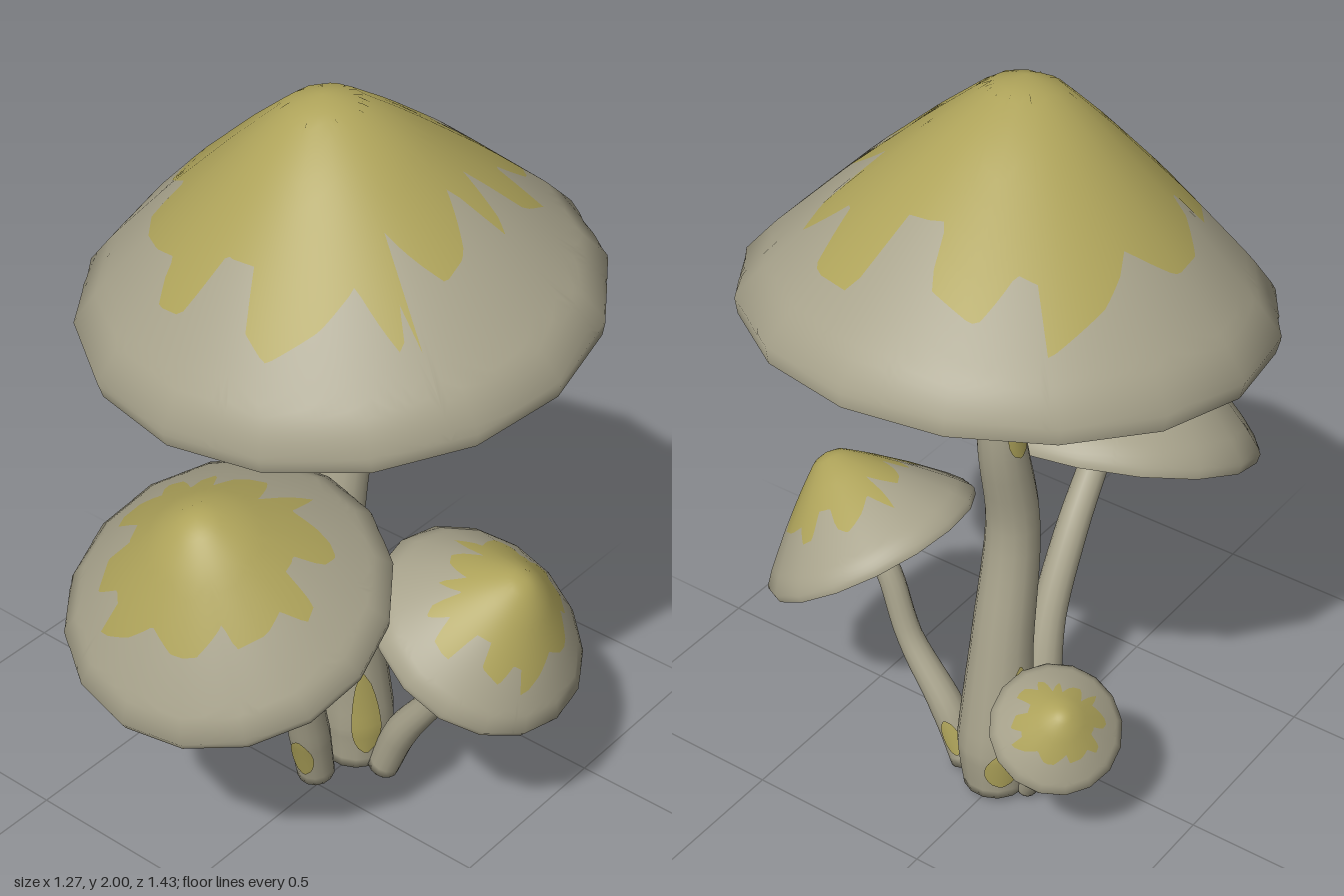
import * as THREE from 'three';

const material = (name, color, side = THREE.FrontSide) => {
  const m = new THREE.MeshStandardMaterial({ color, side });
  m.name = name;
  return m;
};

const { lerp } = THREE.MathUtils;
const SIDES = 16;

// Cap profiles for a cap of radius 1: [radius, height above the rim plane]
const TOP = [[0, 0.89], [0.14, 0.85], [0.35, 0.68], [0.63, 0.43], [0.89, 0.17], [1, 0.04], [0.985, -0.03]];
const UNDER = [[0.985, -0.03], [0.94, 0], [0.62, 0.27], [0.32, 0.44], [0.2, 0.42], [0.13, 0.25], [0.1, 0.05]];

// Ragged outline of the yellow stain seen from above the cap: [x, z]
const STAIN = [
  [0.4, -0.22], [0.27, -0.17], [0.39, -0.07], [0.4, 0], [0.25, 0.04], [0.34, 0.1], [0.5, 0.17], [0.42, 0.18],
  [0.27, 0.16], [0.25, 0.27], [0.17, 0.37], [0.1, 0.35], [0.06, 0.25], [-0.02, 0.25], [-0.08, 0.37], [-0.15, 0.36],
  [-0.17, 0.27], [-0.25, 0.25], [-0.36, 0.15], [-0.3, 0.08], [-0.43, 0], [-0.44, -0.11], [-0.36, -0.2],
  [-0.4, -0.32], [-0.28, -0.4], [-0.36, -0.48], [-0.23, -0.42], [-0.21, -0.53], [-0.08, -0.53], [-0.04, -0.42],
  [0.06, -0.43], [0.1, -0.58], [0.23, -0.53], [0.23, -0.4], [0.34, -0.43], [0.35, -0.36], [0.25, -0.26],
].map(([x, z]) => [Math.atan2(z + 0.09, x) / (2 * Math.PI), Math.hypot(x, z + 0.09) / 0.63]);

// Dark gill streaks: each tooth is a long plateau followed by a deep notch
function gillOutline(seed) {
  const random = () => (seed = (seed * 16807) % 2147483647) / 2147483647;
  const out = [];
  for (let i = 0; i < 20; i++) {
    const reach = 0.5 + 0.36 * random(), notch = 0.26 + 0.14 * random();
    [[0.05, notch], [0.25, reach], [0.6, reach - 0.04], [0.75, notch]].forEach(([f, r]) => out.push([(i + f) / 20, r]));
  }
  return out;
}

// Turns [turn, radius] points into a periodic radius function
function periodic(points) {
  const p = points.map(([a, r]) => [a - Math.floor(a), r]).sort((a, b) => a[0] - b[0]);
  const first = p[0], last = p[p.length - 1];
  p.unshift([last[0] - 1, last[1]]);
  p.push([first[0] + 1, first[1]]);
  return (u) => {
    u -= Math.floor(u);
    const i = Math.max(1, p.findIndex((q) => q[0] >= u));
    const [a, b] = [p[i - 1], p[i]];
    return lerp(a[1], b[1], (u - a[0]) / Math.max(1e-6, b[0] - a[0]));
  };
}

// Grid surface; sample(u, v) gives { p, n }, n being optional
function grid(name, mat, nu, nv, closed, sample) {
  const pos = [], nor = [], index = [], cols = closed ? nu : nu + 1;
  for (let j = 0; j <= nv; j++) {
    for (let i = 0; i < cols; i++) {
      const { p, n } = sample(i / nu, j / nv);
      pos.push(p.x, p.y, p.z);
      if (n) nor.push(n.x, n.y, n.z);
      if (j === nv || i === nu) continue;
      const a = j * cols + i, b = j * cols + ((i + 1) % cols);
      index.push(a, b, a + cols, b, b + cols, a + cols);
    }
  }
  const g = new THREE.BufferGeometry();
  g.setAttribute('position', new THREE.Float32BufferAttribute(pos, 3));
  g.setIndex(index);
  if (nor.length) g.setAttribute('normal', new THREE.Float32BufferAttribute(nor, 3));
  else g.computeVertexNormals();
  const mesh = new THREE.Mesh(g, mat);
  mesh.name = name;
  return mesh;
}

// Smooth-shaded revolved surface with a polygonal outline
function revolve(profile, scale) {
  const seg = profile.slice(1).map((q, i) => new THREE.Vector2(profile[i][1] - q[1], q[0] - profile[i][0]).normalize());
  const normals = profile.map((_, i) => seg[Math.max(0, i - 1)].clone().add(seg[Math.min(i, seg.length - 1)]).normalize());
  normals[0].set(...(profile[0][0] === 0 ? [0, 1] : normals[0].toArray()));
  return (u, t) => {
    const i = Math.min(Math.floor(t), profile.length - 2), f = t - i;
    const r = lerp(profile[i][0], profile[i + 1][0], f) * scale;
    const h = lerp(profile[i][1], profile[i + 1][1], f) * scale;
    const k = Math.floor(u * SIDES + 1e-6), w = u * SIDES - k, step = (2 * Math.PI) / SIDES;
    const c = lerp(Math.cos(k * step), Math.cos((k + 1) * step), w);
    const s = lerp(Math.sin(k * step), Math.sin((k + 1) * step), w);
    const n = normals[i].clone().lerp(normals[i + 1], f);
    return { p: new THREE.Vector3(r * c, h, r * s), n: new THREE.Vector3(n.x * c, n.y, n.x * s).normalize() };
  };
}

// Profile parameter at which a radius is reached
function paramAt(profile, r) {
  for (let i = 0; i < profile.length - 1; i++) {
    const a = profile[i][0], b = profile[i + 1][0];
    if ((r - a) * (r - b) <= 0 && a !== b) return i + (r - a) / (b - a);
  }
  return profile.length - 1;
}

function makeCap(m, spec) {
  const cap = new THREE.Group();
  cap.name = 'cap';
  const top = revolve(TOP, spec.radius), under = revolve(UNDER, spec.radius);
  const stain = periodic(STAIN), gills = periodic(gillOutline(spec.seed));
  const edge = (u) => paramAt(TOP, Math.min(0.93, stain(u + spec.twist) * spec.stain));
  const gillEdge = (u) => paramAt(UNDER, gills(u));
  const N = 192, topEnd = TOP.length - 1, underEnd = UNDER.length - 1;
  cap.add(
    grid('capStain', m.yellow, N, 10, true, (u, v) => top(u, v * edge(u))),
    grid('capTop', m.grey, N, 12, true, (u, v) => top(u, lerp(edge(u), topEnd, v))),
    grid('capUnderside', m.grey, N, 8, true, (u, v) => under(u, v * gillEdge(u))),
    grid('gills', m.dark, N, 12, true, (u, v) => under(u, lerp(gillEdge(u), underEnd, v))),
  );
  cap.position.copy(spec.centre);
  cap.quaternion.setFromUnitVectors(new THREE.Vector3(0, 1, 0), spec.axis);
  return cap;
}

// Bent, tapering stem running from inside the cap down to the ground
function makeStem(m, spec) {
  const stem = new THREE.Group();
  stem.name = 'stem';
  const start = spec.centre.clone().addScaledVector(spec.axis, spec.radius * 0.4);
  const curve = new THREE.CatmullRomCurve3([start, spec.centre, ...spec.path.map((p) => new THREE.Vector3(...p))]);
  const radii = [spec.radii[0], ...spec.radii];
  const point = (angle, t, extra = 0, shrink = 1) => {
    const x = t * (radii.length - 1), i = Math.min(Math.floor(x), radii.length - 2);
    const r = (lerp(radii[i], radii[i + 1], x - i) + extra) * shrink;
    const T = curve.getTangent(t);
    const e1 = new THREE.Vector3(1, 0, 0).addScaledVector(T, -T.x).normalize();
    const e2 = T.clone().cross(e1);
    return { p: curve.getPoint(t).addScaledVector(e1, r * Math.cos(angle)).addScaledVector(e2, r * Math.sin(angle)) };
  };
  const rows = 30;
  stem.add(grid('stalk', m.grey, 14, rows + 1, true, (u, v) => {
    const row = v * (rows + 1);
    return point(u * 2 * Math.PI, Math.min(1, row / rows), 0, row > rows + 0.5 ? 0 : 1);
  }));
  // Yellow streaks: [start, end, facing in degrees from +x toward +z, half width]
  for (const [t0, t1, facing, half] of spec.streaks) {
    stem.add(grid('stemStain', m.yellowThin, 6, 10, false, (u, v) =>
      point((facing * Math.PI) / 180 + (u * 2 - 1) * half * Math.sqrt(Math.sin(Math.PI * v) + 0.02), lerp(t0, t1, v), 0.004)));
  }
  return stem;
}

const MUSHROOMS = [
  {
    name: 'tallMushroom', centre: [0, 1.44, -0.09], axis: [0, 1, 0.13], radius: 0.63, stain: 1, twist: 0, seed: 11,
    path: [[0, 1.1, -0.125], [0, 0.8, -0.08], [0, 0.45, -0.13], [0, 0.16, -0.16], [0, 0.02, -0.16]],
    radii: [0.056, 0.06, 0.068, 0.08, 0.1, 0.085],
    streaks: [[0.68, 0.8, 200, 0.3], [0.82, 0.94, 225, 0.45], [0.72, 0.93, 35, 0.4], [0.8, 0.92, 150, 0.35], [0.3, 0.36, 190, 0.5]],
  },
  {
    name: 'frontMushroom', centre: [0.02, 0.815, 0.35], axis: [0.09, 1, 0.42], radius: 0.4, stain: 0.92, twist: 0.3, seed: 29,
    path: [[0.01, 0.6, 0.19], [0.005, 0.39, 0.08], [-0.015, 0.18, 0.015], [-0.03, 0.01, -0.03]],
    radii: [0.036, 0.042, 0.046, 0.055, 0.05],
    streaks: [[0.78, 0.94, 80, 0.6], [0.82, 0.93, 190, 0.5]],
  },
  {
    name: 'leftMushroom', centre: [0.385, 0.61, -0.15], axis: [0.53, 0.85, 0], radius: 0.29, stain: 0.92, twist: 0.55, seed: 47,
    path: [[0.335, 0.53, -0.15], [0.275, 0.35, -0.15], [0.16, 0.17, -0.15], [0.1, 0.02, -0.15]],
    radii: [0.032, 0.033, 0.034, 0.045, 0.042],
    streaks: [[0.82, 0.95, 250, 0.5]],
  },
  {
    name: 'smallMushroom', centre: [-0.25, 0.38, -0.255], axis: [-0.42, 0.81, -0.4], radius: 0.165, stain: 0.92, twist: 0.8, seed: 83,
    path: [[-0.205, 0.3, -0.23], [-0.165, 0.18, -0.2], [-0.12, 0.08, -0.17], [-0.09, 0.025, -0.15]],
    radii: [0.017, 0.018, 0.02, 0.026, 0.028],
    streaks: [],
  },
];

export function createModel() {
  const m = {
    grey: material('pale grey flesh', 0xa8a38c),
    yellow: material('mustard stain', 0xaea35a),
    dark: material('dark brown gills', 0x33291a),
  };
  m.yellowThin = m.yellow;
  m.yellow.side = THREE.DoubleSide;
  const model = new THREE.Group();
  model.name = 'mushroomCluster';
  for (const data of MUSHROOMS) {
    const spec = { ...data, centre: new THREE.Vector3(...data.centre), axis: new THREE.Vector3(...data.axis).normalize() };
    const mushroom = new THREE.Group();
    mushroom.name = data.name;
    mushroom.add(makeCap(m, spec), makeStem(m, spec));
    model.add(mushroom);
  }
  return model;
}
